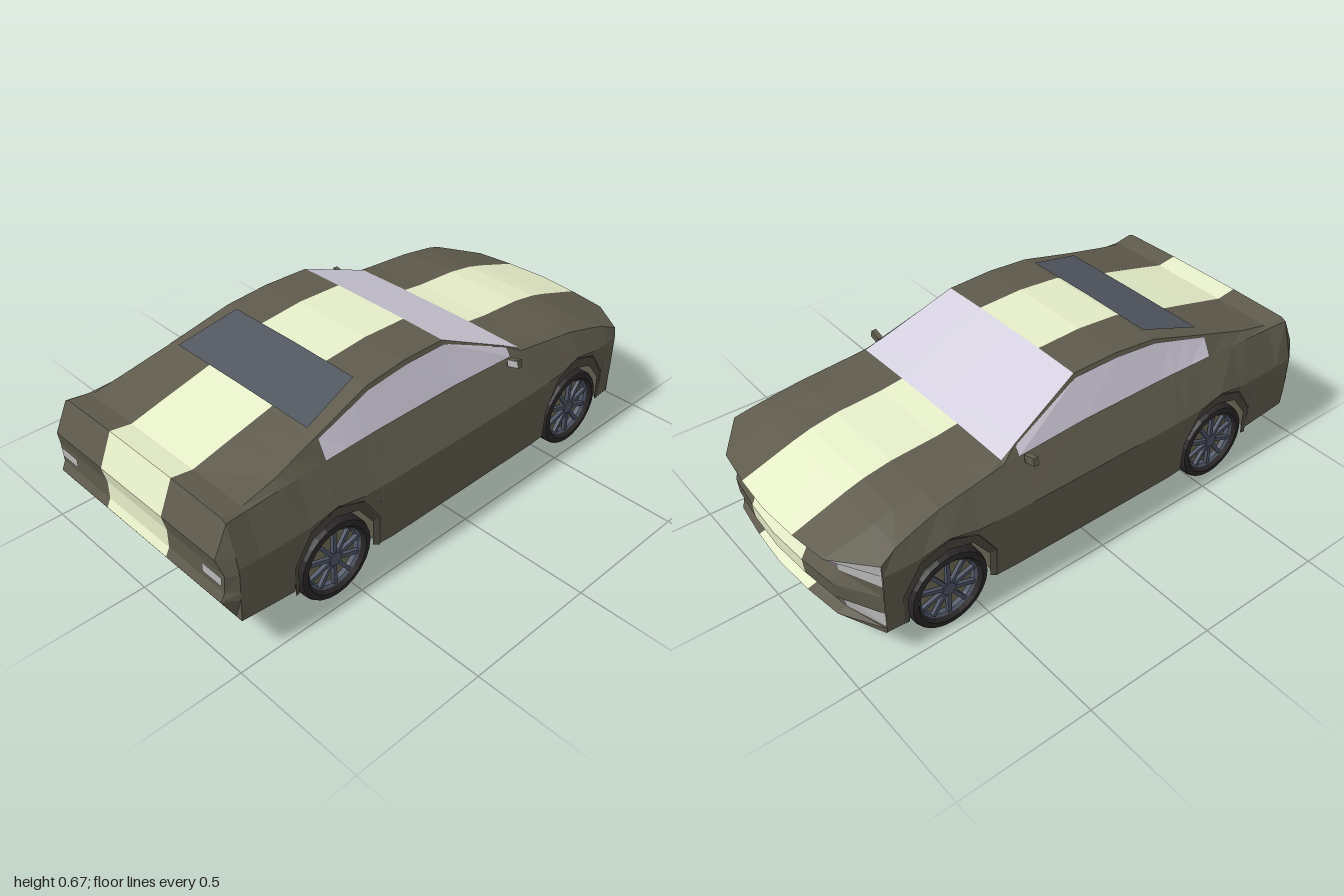
import * as THREE from 'three';

const COLORS = {
  bodyShell: 0x5e5a4c, stripe: 0xe6edc8, windshield: 0xd2cedd, sideWindow: 0xd2cedd, rearWindow: 0x50565f,
  grille: 0x74656e, light: 0xb8b8b8, tire: 0x2a2627, rim: 0x4f5666, disc: 0x6e6c55, archLiner: 0x4a473e,
};
const material = (name) => new THREE.MeshStandardMaterial({
  color: COLORS[name], flatShading: true, side: THREE.DoubleSide,
});

// Key sections: z, floor y, widest x, shoulder x/y, roof or hood edge x/y, centre top y
const KEYS = [
  [-0.86, 0.115, 0.462, 0.457, 0.40, 0.31, 0.385, 0.385],
  [-0.785, 0.115, 0.467, 0.437, 0.43, 0.33, 0.45, 0.46],
  [-0.62, 0.115, 0.47, 0.42, 0.465, 0.33, 0.48, 0.487],
  [-0.445, 0.115, 0.48, 0.41, 0.485, 0.33, 0.492, 0.497],
  [-0.36, 0.115, 0.483, 0.405, 0.495, 0.39, 0.503, 0.508],
  [-0.02, 0.115, 0.483, 0.40, 0.50, 0.337, 0.656, 0.66],
  [0.16, 0.115, 0.483, 0.40, 0.50, 0.34, 0.66, 0.665],
  [0.33, 0.115, 0.483, 0.40, 0.502, 0.345, 0.645, 0.65],
  [0.57, 0.125, 0.474, 0.405, 0.505, 0.367, 0.577, 0.583],
  [0.745, 0.135, 0.47, 0.41, 0.505, 0.385, 0.53, 0.54],
  [0.87, 0.145, 0.468, 0.41, 0.50, 0.39, 0.505, 0.508],
  [0.95, 0.15, 0.465, 0.42, 0.505, 0.40, 0.515, 0.52],
];
const WHEEL_Z = [-0.62, 0.57];
// Wheel arch outline: offset along z, height
const ARCH = [[-0.175, 0.23], [-0.105, 0.335], [0, 0.37], [0.105, 0.335], [0.175, 0.23]];

function keyAt(z) {
  let k = 0;
  while (k < KEYS.length - 2 && z > KEYS[k + 1][0]) k++;
  const t = (z - KEYS[k][0]) / (KEYS[k + 1][0] - KEYS[k][0]);
  return KEYS[k].map((v, n) => THREE.MathUtils.lerp(v, KEYS[k + 1][n], t));
}

// Half section from the floor centre, round the wheel well and side, to the top centre
function section(z, archY) {
  const [, yb, xw, xs, ys, xe, ye, yt] = keyAt(z);
  const ya = archY ?? yb;
  const bow = z === -0.86 ? [-0.11, -0.13, -0.14] : [0, 0, 0];
  return [
    [0, yb, z], [0.33, yb, z], [0.33, ya, z], [xw - 0.008, ya, z],
    [xw - 0.003, Math.max(0.22, ya + 0.005), z], [xw, Math.max(0.36, ya + 0.01), z],
    [xs, ys, z], [xe, ye, z + bow[0]], [0.16, yt, z + bow[1]], [0, yt, z + bow[2]],
  ];
}

export function createModel() {
  const car = new THREE.Group();
  car.name = 'car';
  const buckets = {};

  // Adds a mirrored grid of quads; pick(i, j) names the part each cell belongs to
  function grid(rows, pick) {
    for (let i = 0; i < rows.length - 1; i++) {
      for (let j = 0; j < rows[i].length - 1; j++) {
        const a = rows[i][j], b = rows[i][j + 1], c = rows[i + 1][j + 1], d = rows[i + 1][j];
        const out = (buckets[pick(i, j)] ??= []);
        for (const p of [a, b, c, a, c, d]) out.push(...p);
        for (const [x, y, z] of [a, c, b, a, d, c]) out.push(-x, y, z);
      }
    }
  }

  // Body shell with wheel wells
  const stations = [-0.86, -0.36, -0.30, -0.02, 0.16, 0.33, 0.56, 0.87, 0.95]
    .filter((z) => z !== 0.56).map((z) => [z]);
  for (const wz of WHEEL_Z) {
    for (const [dz, y] of ARCH) stations.push([wz + dz, y]);
    stations.push([wz - 0.1751], [wz + 0.1751]);
  }
  stations.push([0.56, 0.366]);
  stations.sort((a, b) => a[0] - b[0]);
  grid(stations.map(([z, y]) => section(z, y)), (i, j) => {
    const z = stations[i][0];
    if (j >= 7 && z >= -0.36 && z < -0.02) return 'windshield';
    return j === 8 ? 'stripe' : 'bodyShell';
  });

  // Side windows lie just outside the cabin sides
  const windowRows = stations.map((s) => s[0]).filter((z) => z >= -0.30 && z <= 0.56).map((z) => {
    const [, , , xs, ys, xe, ye] = keyAt(z);
    return [0.04, 0.92].map((t) => [
      THREE.MathUtils.lerp(xs, xe, t) + 0.004, THREE.MathUtils.lerp(ys, ye, t) + 0.001, z]);
  });
  grid(windowRows, () => 'sideWindow');

  // Rear window
  grid([[[0.29, 0.653, 0.335], [0, 0.656, 0.335]], [[0.325, 0.59, 0.56], [0, 0.592, 0.56]]], () => 'rearWindow');

  // Nose, top to bottom: y, z at the centre, then parts across stripe, middle and corner
  const B = 'bodyShell', S = 'stripe', G = 'grille', L = 'light';
  const nose = [
    [0.385, -1.0, B, B, L], [0.36, -0.955, G, G, L], [0.315, -0.955, S, B, B],
    [0.27, -0.98, S, B, B], [0.21, -0.975, S, B, B], [0.20, -0.95, G, G, L],
    [0.145, -0.94, S, B, B], [0.135, -0.975, S, B, B], [0.115, -0.95, B, B, B], [0.115, -0.86, B, B, B],
  ];
  grid(nose.map(([y, z], i) => [
    [0, y, z], [0.16, y, Math.min(z + 0.01, -0.86)], [0.31, y, Math.min(z + 0.03, -0.86)],
    [0.457, i ? y : 0.40, -0.86],
  ]), (i, j) => nose[i][2 + j]);

  // Tail, bottom to top: y, z, panel half width, corner x
  const tail = [
    [0.15, 0.95, 0.43, 0.457], [0.24, 1.0, 0.43, 0.462], [0.27, 0.985, 0.432, 0.463],
    [0.34, 0.985, 0.44, 0.465], [0.40, 1.0, 0.42, 0.453], [0.515, 0.95, 0.40, 0.42],
  ];
  grid(tail.map(([y, z, x, xc], i) => [
    [0, i === 5 ? 0.52 : y, z], [0.16, i === 5 ? 0.52 : y, z], [x, y, z], [xc, i === 5 ? 0.505 : y, 0.95],
  ]), (i, j) => (j ? B : S));

  // Tail lights
  grid([[[0.335, 0.295, 0.989], [0.425, 0.295, 0.989]], [[0.335, 0.33, 0.989], [0.43, 0.33, 0.989]]], () => L);

  // Arch liners slope from the body down to the tires
  for (const wz of WHEEL_Z) {
    const outline = [[-0.175, 0.115], ...ARCH, [0.175, 0.115]];
    grid(outline.map(([dz, y]) => [
      [0.46, y > 0.12 ? 0.155 + (y - 0.155) * 0.8 : y, wz + dz * 0.9],
      [keyAt(wz + dz)[2] - 0.006, y, wz + dz],
    ]), () => 'archLiner');
  }

  for (const [name, positions] of Object.entries(buckets)) {
    const geometry = new THREE.BufferGeometry();
    geometry.setAttribute('position', new THREE.Float32BufferAttribute(positions, 3));
    geometry.computeVertexNormals();
    const mesh = new THREE.Mesh(geometry, material(name));
    mesh.name = name;
    car.add(mesh);
  }

  const add = (group, name, geometry, color) => {
    const mesh = new THREE.Mesh(geometry, material(color));
    mesh.name = name;
    group.add(mesh);
    return mesh;
  };
  const lathe = (pts) => new THREE.LatheGeometry(pts.map((p) => new THREE.Vector2(...p)), 24).rotateZ(-Math.PI / 2);
  const drum = (r, w, x) => new THREE.CylinderGeometry(r, r, w, 20).rotateZ(-Math.PI / 2).translate(x, 0, 0);

  for (const side of [1, -1]) {
    // Wheels
    for (const wz of WHEEL_Z) {
      const wheel = new THREE.Group();
      wheel.name = wz < 0 ? 'frontWheel' : 'rearWheel';
      add(wheel, 'tire', lathe([[0.113, -0.05], [0.125, -0.065], [0.145, -0.062], [0.15, -0.05],
        [0.15, 0.05], [0.145, 0.062], [0.125, 0.065], [0.113, 0.05]]), 'tire');
      add(wheel, 'rimBarrel', lathe([[0.113, -0.05], [0.105, -0.045], [0.105, 0.045], [0.113, 0.052]]), 'rim');
      add(wheel, 'brakeDisc', drum(0.104, 0.012, 0.022), 'disc');
      add(wheel, 'hub', drum(0.024, 0.03, 0.04), 'rim');
      for (let k = 0; k < 10; k++) {
        const spoke = new THREE.BoxGeometry(0.014, 0.09, 0.014).translate(0.045, 0.062, 0);
        add(wheel, 'spoke', spoke.rotateX(k * Math.PI / 5), 'rim');
      }
      wheel.position.set(side * 0.40, 0.15, wz);
      if (side < 0) wheel.rotation.y = Math.PI;
      car.add(wheel);
    }

    // Door mirrors
    const mirror = new THREE.Group();
    mirror.name = 'doorMirror';
    add(mirror, 'mirrorHousing', new THREE.BoxGeometry(0.048, 0.028, 0.018), 'bodyShell');
    add(mirror, 'mirrorGlass', new THREE.BoxGeometry(0.046, 0.026, 0.003).translate(0, 0, 0.01), 'light');
    add(mirror, 'mirrorArm', new THREE.BoxGeometry(0.04, 0.01, 0.01).translate(-side * 0.025, -0.012, 0), 'bodyShell');
    mirror.position.set(side * 0.443, 0.498, -0.28);
    mirror.rotation.z = side * 0.28;
    car.add(mirror);
  }
  return car;
}
